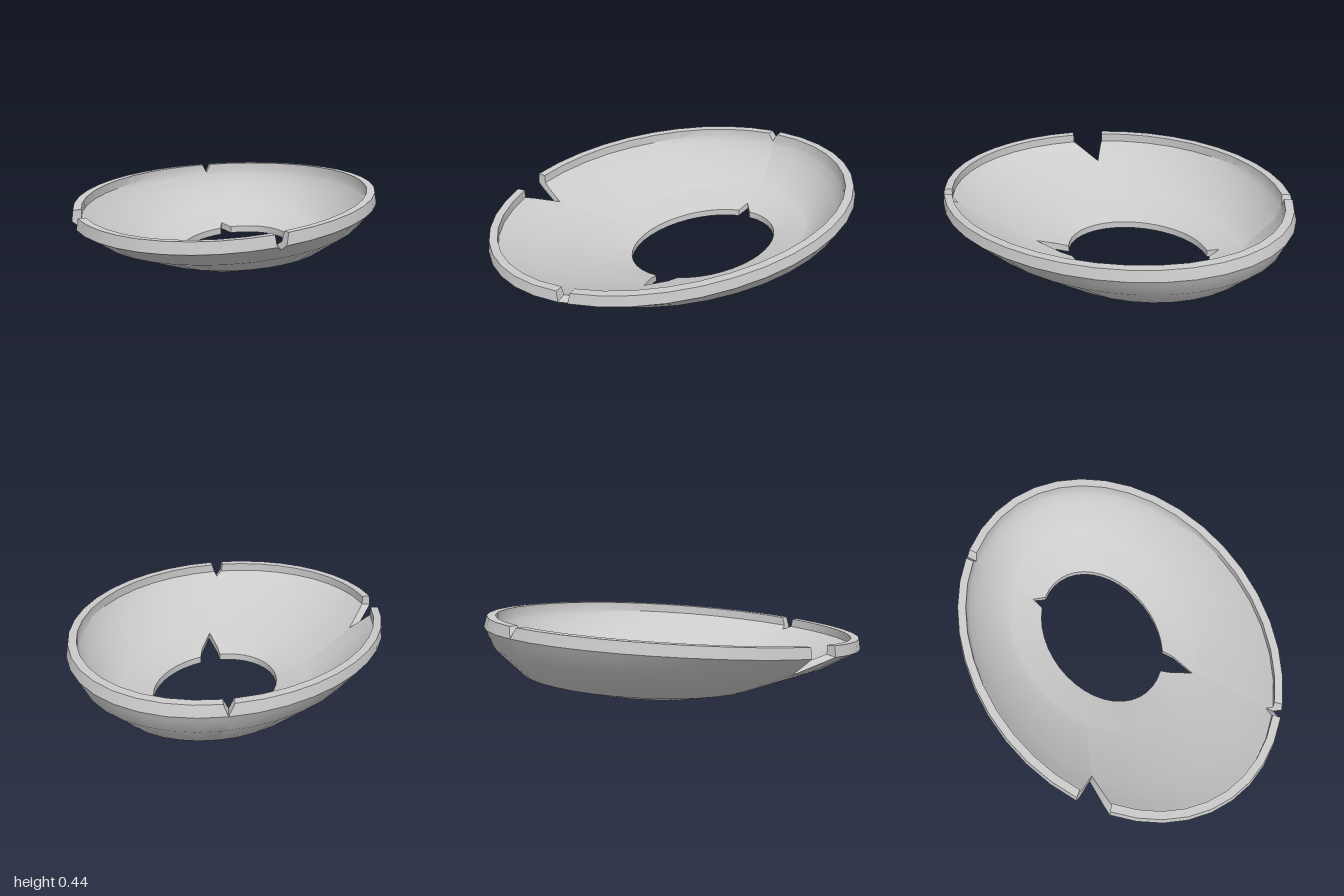
import * as THREE from 'three';
import { toCreasedNormals } from 'three/addons/utils/BufferGeometryUtils.js';

// Each row is a tilted oval: [rx, zCentre, rz, yCentre, tilt, side rise]
const mix = (a, b, t) => a.map((v, i) => v + (b[i] - v) * t);

// Eight levels from the central hole up to the rim
function levels(hole, belly, shoulder, rimLow, rimTop) {
  return [hole, mix(hole, belly, 0.3), mix(hole, belly, 0.87), belly,
    shoulder, mix(shoulder, rimLow, 0.75), rimLow, rimTop];
}

const outer = levels(
  [0.3, -0.17, 0.41, 0.031, 0.031, 0],
  [0.5, -0.175, 0.635, 0.095, 0.04, -0.01],
  [0.69, -0.07, 0.885, 0.22, 0.06, 0.005],
  [0.78, 0, 1, 0.315, 0.07, 0.015],
  [0.772, 0.004, 0.988, 0.372, 0.07, 0.015]);
const inner = levels(
  [0.3, -0.17, 0.41, 0.068, 0.031, 0],
  [0.485, -0.165, 0.615, 0.135, 0.04, -0.01],
  [0.66, -0.06, 0.85, 0.25, 0.06, 0.005],
  [0.73, 0.005, 0.945, 0.325, 0.068, 0.015],
  [0.73, 0.005, 0.945, 0.372, 0.07, 0.015]);

// Cracks: the angle (degrees from the front) of both lips at each level.
// Where the lips part, a notch opens in the hole edge or the rim.
const leftCrack = {
  before: [31, 33, 37.3, 37.5, 38, 38, 36.4, 35.8],
  after: [50, 46, 37.3, 37.5, 38, 38, 39.6, 40.5],
};
const backCrack = {
  before: [208, 215.5, 214, 214, 212.5, 211.6, 211.4, 209.6],
  after: [219, 215.5, 214, 214, 212.5, 211.6, 211.4, 213.2],
};
const rightCrack = {
  before: [310.2, 310.2, 310.2, 310.2, 310.2, 305.8, 304.3, 304.3],
  after: [310.2, 310.2, 310.2, 310.2, 310.2, 314.2, 315.6, 315.6],
};

function pointOn([rx, cz, rz, y, tilt, rise], degrees) {
  const a = THREE.MathUtils.degToRad(degrees);
  const s = Math.sin(a), c = Math.cos(a);
  return [rx * s, y - tilt * c + rise * s * s, cz + rz * c];
}

// One shard of the shell: a closed wall profile swept between two cracks
function shard(name, start, end, material) {
  const top = outer.length - 1;
  const count = outer.length * 2;
  const steps = Math.round((end[0] - start[0]) / 9);
  const positions = [];
  const index = [];
  const quad = (a, b, c, d) => index.push(a, b, c, a, c, d);

  for (let j = 0; j <= steps; j++) {
    for (let k = 0; k < count; k++) {
      const level = k <= top ? k : count - 1 - k;
      const row = k <= top ? outer[level] : inner[level];
      const angle = start[level] + (end[level] - start[level]) * j / steps;
      positions.push(...pointOn(row, angle));
    }
  }
  for (let j = 0; j < steps; j++) {
    for (let k = 0; k < count; k++) {
      const a = j * count, b = a + count, n = (k + 1) % count;
      quad(a + k, b + k, b + n, a + n);
    }
  }
  // Broken end faces
  const last = steps * count;
  for (let k = 0; k < top; k++) {
    const i = count - 1 - k;
    quad(k, k + 1, i - 1, i);
    quad(last + i, last + i - 1, last + k + 1, last + k);
  }

  const geometry = new THREE.BufferGeometry();
  geometry.setAttribute('position', new THREE.Float32BufferAttribute(positions, 3));
  geometry.setIndex(index);
  const mesh = new THREE.Mesh(toCreasedNormals(geometry, 0.55), material);
  mesh.name = name;
  return mesh;
}

export function createModel() {
  const group = new THREE.Group();
  group.name = 'crackedOvalBowl';
  const material = new THREE.MeshStandardMaterial({ color: 0xcccccc });
  const frontStart = rightCrack.after.map((a) => a - 360);

  group.add(
    shard('frontShard', frontStart, leftCrack.before, material),
    shard('leftShard', leftCrack.after, backCrack.before, material),
    shard('rightShard', backCrack.after, rightCrack.before, material));
  return group;
}
